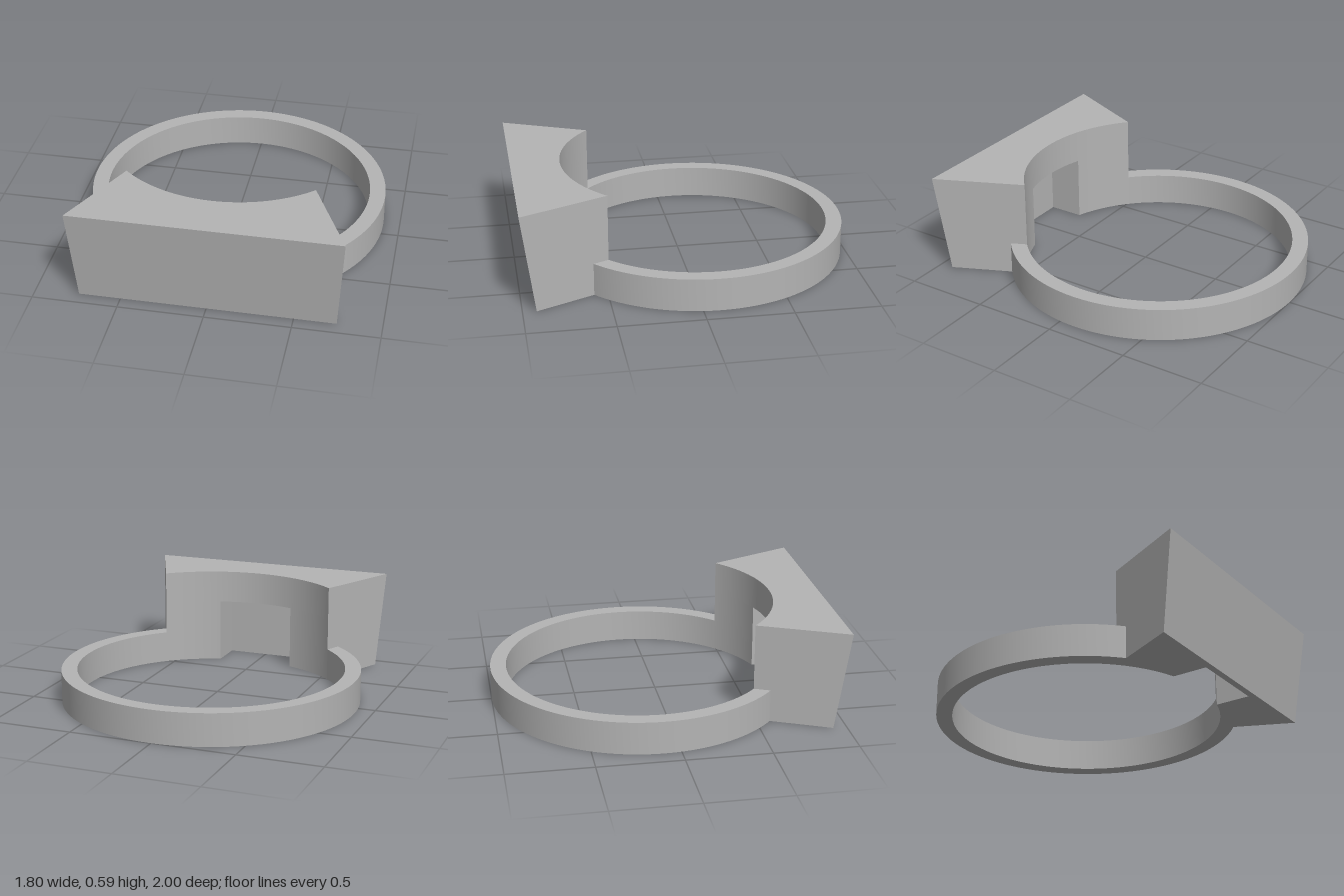
import * as THREE from 'three';
import { toCreasedNormals } from 'three/addons/utils/BufferGeometryUtils.js';

// Plan outlines are drawn in (x, -z); the ring centre sits at (0, CY)
const CY = 0.1, INNER = 0.805, OUTER = 0.9;
const RING_H = 0.195, NOTCH_H = 0.39, BLOCK_H = 0.59;
const FRONT_TOP = 1, FRONT_BOTTOM = 0.92;
const NOTCH_X = 0.24, NOTCH_Z = 0.88;

// Half width of the block at depth z (its sides splay towards the front)
const halfWidth = (z) => 0.78 - 0.451 * (1 - z);

// Angles where the splayed side and the notch meet the circles
const innerAngle = Math.atan2(-0.49 - CY, 0.55);
const outerAngle = Math.atan2(-0.58 - CY, 0.59);
const notchAngle = -Math.acos(NOTCH_X / INNER);

function extrudeUp(shape, y0, y1) {
  const geo = new THREE.ExtrudeGeometry(shape, { depth: y1 - y0, bevelEnabled: false, curveSegments: 72 });
  geo.rotateX(-Math.PI / 2);
  geo.translate(0, y0, 0);
  return geo;
}

// Lean the front face back towards the base, keeping the sides in plane
function slopeFront(geo) {
  const p = geo.attributes.position;
  for (let i = 0; i < p.count; i++) {
    if (p.getZ(i) < 0.97) continue;
    const z = THREE.MathUtils.lerp(FRONT_BOTTOM, FRONT_TOP, p.getY(i) / BLOCK_H);
    p.setZ(i, z);
    p.setX(i, Math.sign(p.getX(i)) * halfWidth(z));
  }
  return geo;
}

function blockShape(notched) {
  const s = new THREE.Shape();
  s.moveTo(-0.78, -1);
  s.lineTo(0.78, -1);
  if (notched) {
    s.absarc(0, CY, INNER, innerAngle, notchAngle, true);
    s.lineTo(NOTCH_X, -NOTCH_Z);
    s.lineTo(-NOTCH_X, -NOTCH_Z);
    s.absarc(0, CY, INNER, -Math.PI - notchAngle, -Math.PI - innerAngle, true);
  } else {
    s.absarc(0, CY, INNER, innerAngle, -Math.PI - innerAngle, true);
  }
  s.closePath();
  return s;
}

export function createModel() {
  const group = new THREE.Group();
  const grey = new THREE.MeshStandardMaterial({ color: 0xb4b4b4 });
  grey.name = 'grey';

  const add = (name, geo) => {
    const mesh = new THREE.Mesh(toCreasedNormals(geo, 0.4), grey);
    mesh.name = name;
    group.add(mesh);
  };

  // Open ring running from one side of the block round the back to the other
  const ring = new THREE.Shape();
  ring.absarc(0, CY, OUTER, outerAngle, Math.PI - outerAngle, false);
  ring.absarc(0, CY, INNER, Math.PI - innerAngle, innerAngle, true);
  ring.closePath();
  add('ring', extrudeUp(ring, 0, RING_H));

  // Front block: notched lower part and solid cap
  add('blockBase', slopeFront(extrudeUp(blockShape(true), 0, NOTCH_H)));
  add('blockCap', slopeFront(extrudeUp(blockShape(false), NOTCH_H, BLOCK_H)));

  return group;
}
